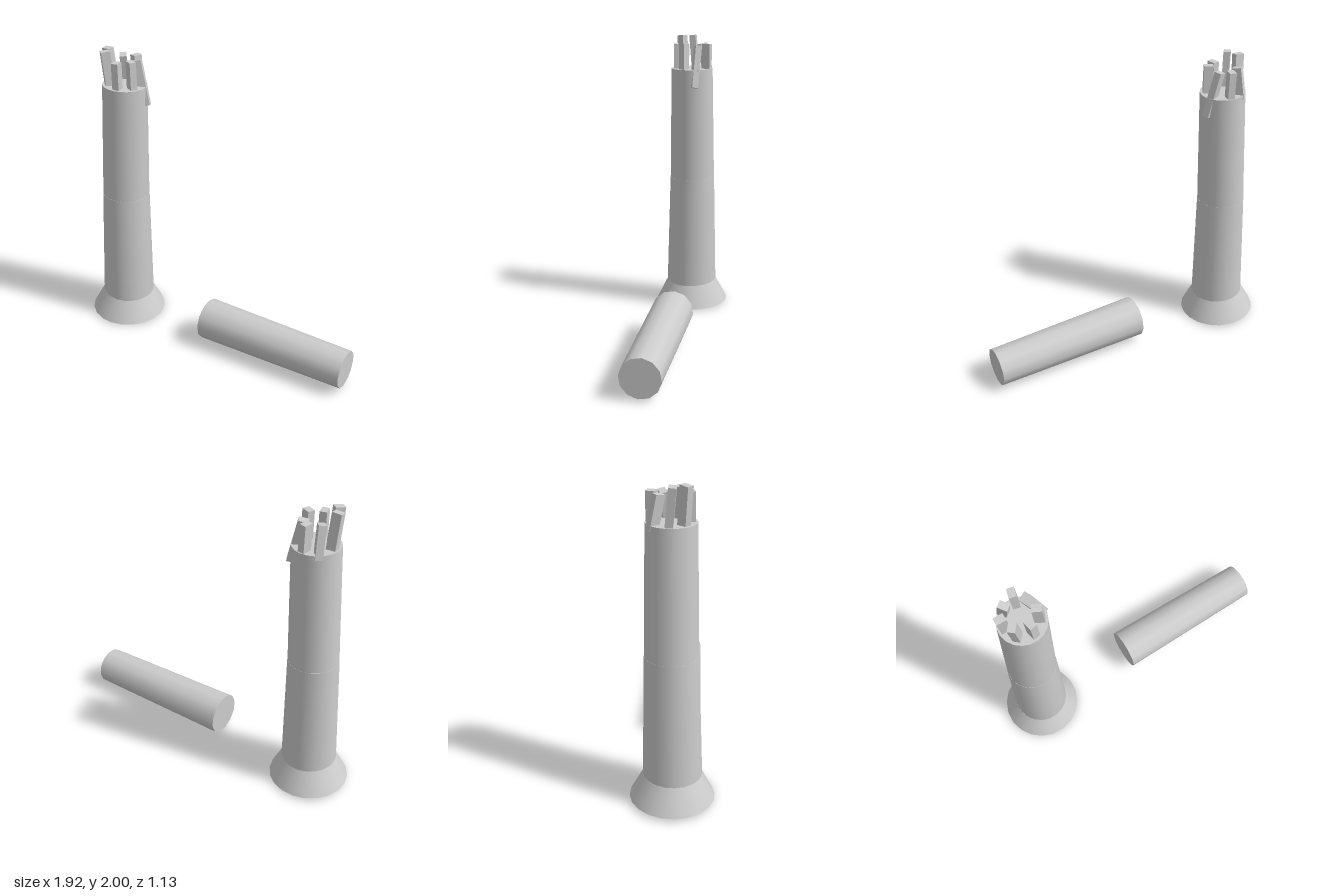
import * as THREE from 'three';

const UP = new THREE.Vector3(0, 1, 0);

export function createModel() {
  const model = new THREE.Group();
  const bark = new THREE.MeshStandardMaterial({ color: 0xcccccc });
  bark.name = 'pale grey wood';

  // Capped, tapered round section between two centre points
  function section(name, from, to, rFrom, rTo, sides) {
    const a = new THREE.Vector3(...from), b = new THREE.Vector3(...to);
    const axis = b.clone().sub(a);
    const mesh = new THREE.Mesh(new THREE.CylinderGeometry(rTo, rFrom, axis.length(), sides), bark);
    mesh.name = name;
    mesh.position.copy(a).add(b).multiplyScalar(0.5);
    mesh.quaternion.setFromUnitVectors(UP, axis.normalize());
    model.add(mesh);
  }

  // Standing trunk: flared foot and two slightly leaning lengths
  section('rootFlare', [-0.7, 0.01, -0.305], [-0.695, 0.17, -0.3], 0.265, 0.182, 20);
  section('lowerTrunk', [-0.698, 0.006, -0.3], [-0.672, 0.97, -0.296], 0.187, 0.162, 20);
  section('upperTrunk', [-0.672, 0.965, -0.296], [-0.637, 1.768, -0.281], 0.161, 0.148, 20);

  // Fallen length of trunk lying on the ground
  section('fallenLog', [-0.058, 0.157, 0.01], [0.903, 0.142, 0.442], 0.143, 0.128, 12);

  // Ring of splinters around the break: bottom centre, top centre
  const splinters = [
    [[-0.497, 1.635, -0.257], [-0.555, 1.925, -0.3]],
    [[-0.573, 1.72, -0.205], [-0.573, 1.945, -0.205]],
    [[-0.663, 1.72, -0.183], [-0.663, 1.94, -0.185]],
    [[-0.725, 1.74, -0.245], [-0.745, 1.997, -0.237]],
    [[-0.725, 1.74, -0.333], [-0.745, 1.997, -0.317]],
    [[-0.655, 1.74, -0.403], [-0.66, 1.94, -0.363]],
    [[-0.573, 1.72, -0.37], [-0.575, 1.94, -0.373]],
  ];
  const ring = new THREE.Group();
  ring.name = 'splinters';
  splinters.forEach(([from, to], i) => {
    const a = new THREE.Vector3(...from), b = new THREE.Vector3(...to);
    const y = b.clone().sub(a);
    const mesh = new THREE.Mesh(new THREE.BoxGeometry(0.06, y.length(), 0.045), bark);
    const angle = (i / splinters.length) * Math.PI * 2;
    y.normalize();
    // Wide side points outward from the trunk centre
    const z = new THREE.Vector3(Math.cos(angle), 0, Math.sin(angle)).cross(y).normalize();
    const x = y.clone().cross(z);
    mesh.quaternion.setFromRotationMatrix(new THREE.Matrix4().makeBasis(x, y, z));
    mesh.position.copy(a).add(b).multiplyScalar(0.5);
    mesh.name = 'splinter';
    ring.add(mesh);
  });
  model.add(ring);

  return model;
}
